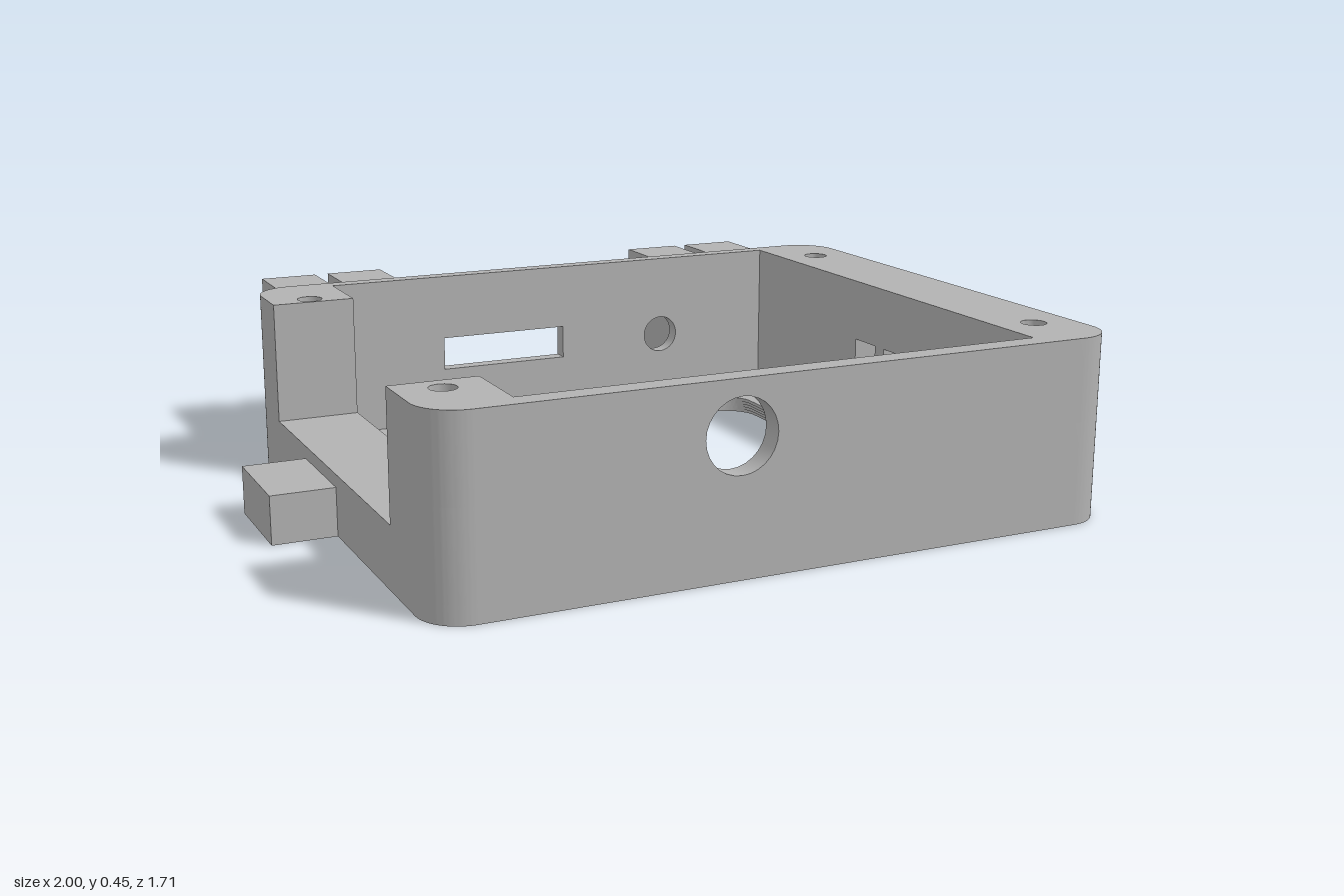
import * as THREE from 'three';
import { toCreasedNormals } from 'three/addons/utils/BufferGeometryUtils.js';

const X = 0.845, BACK = -0.53, FRONT = 0.855, TOP = 0.45, FLOOR = 0.045;
const INNER_X = 0.64, INNER_BACK = -0.49, INNER_FRONT = 0.8;
const NOTCH_BACK = -0.305, NOTCH_FRONT = 0.605;

// Rectangle with one radius per corner: lower left, lower right, upper right, upper left
function rect(x0, y0, x1, y1, [a, b, c, d] = [0, 0, 0, 0], Type = THREE.Shape) {
  const s = new Type();
  s.moveTo(x0 + a, y0);
  s.lineTo(x1 - b, y0);
  if (b) s.absarc(x1 - b, y0 + b, b, -Math.PI / 2, 0, false);
  s.lineTo(x1, y1 - c);
  if (c) s.absarc(x1 - c, y1 - c, c, 0, Math.PI / 2, false);
  s.lineTo(x0 + d, y1);
  if (d) s.absarc(x0 + d, y1 - d, d, Math.PI / 2, Math.PI, false);
  s.lineTo(x0, y0 + a);
  if (a) s.absarc(x0 + a, y0 + a, a, Math.PI, Math.PI * 1.5, false);
  return s;
}

function circle(x, y, r) {
  const p = new THREE.Path();
  p.absarc(x, y, r, 0, Math.PI * 2, true);
  return p;
}

function extrude(shape, depth) {
  const g = new THREE.ExtrudeGeometry(shape, { depth, bevelEnabled: false, curveSegments: 14 });
  return toCreasedNormals(g, 0.6);
}

// Plan shapes are drawn in (x, -z) and rise from y0 to y1
const extrudeUp = (shape, y0, y1) => extrude(shape, y1 - y0).rotateX(-Math.PI / 2).translate(0, y0, 0);

export function createModel() {
  const model = new THREE.Group();
  model.name = 'enclosureFrame';
  const grey = new THREE.MeshStandardMaterial({ color: 0xb2b2b2 });
  grey.name = 'grey plastic';

  const add = (name, geometry) => {
    const mesh = new THREE.Mesh(geometry, grey);
    mesh.name = name;
    model.add(mesh);
  };
  const box = (name, x0, x1, y0, y1, z0, z1) => add(name,
    new THREE.BoxGeometry(x1 - x0, y1 - y0, z1 - z0)
      .translate((x0 + x1) / 2, (y0 + y1) / 2, (z0 + z1) / 2));

  // Floor: thin layers whose opening widens slightly downwards
  const layers = 5;
  for (let i = 0; i < layers; i++) {
    const grow = 0.004 * (layers - 1 - i);
    const plate = rect(-X, -FRONT, X, -BACK, [0.1, 0.1, 0.1, 0.1]);
    const r = 0.07 + grow;
    plate.holes.push(rect(-0.53 - grow, -0.57 - grow, 0.53 + grow, 0.405 + grow, [r, r, r, r], THREE.Path));
    add('floorLayer', extrudeUp(plate, FLOOR * i / layers, FLOOR * (i + 1) / layers));
  }

  // Corner blocks: solid below, blind screw hole above
  for (const side of [-1, 1]) for (const front of [true, false]) {
    const x0 = side < 0 ? -X : INNER_X, x1 = side < 0 ? -INNER_X : X;
    const z0 = front ? NOTCH_FRONT : BACK, z1 = front ? FRONT : NOTCH_BACK;
    const radii = [0, 0, 0, 0];
    radii[front ? (side < 0 ? 0 : 1) : (side < 0 ? 3 : 2)] = 0.1;
    add('cornerBlockBase', extrudeUp(rect(x0, -z1, x1, -z0, radii), FLOOR, 0.25));
    const upper = rect(x0, -z1, x1, -z0, radii);
    upper.holes.push(circle(side * 0.742, front ? -0.667 : 0.345, 0.031));
    add('cornerBlockTop', extrudeUp(upper, 0.25, TOP));
  }

  // Front wall with round port
  const frontWall = rect(-INNER_X, FLOOR, INNER_X, TOP);
  frontWall.holes.push(circle(-0.145, 0.323, 0.087));
  add('frontWall', extrude(frontWall, FRONT - INNER_FRONT).translate(0, 0, INNER_FRONT));

  // Back wall with slot and small round port
  const backWall = rect(-INNER_X, FLOOR, INNER_X, TOP);
  backWall.holes.push(rect(-0.335, 0.193, 0.015, 0.28, undefined, THREE.Path), circle(0.317, 0.231, 0.05));
  add('backWall', extrude(backWall, INNER_BACK - BACK).translate(0, 0, BACK));

  // Left wall with four windows, drawn in (-z, y)
  const leftWall = rect(-NOTCH_FRONT, FLOOR, -NOTCH_BACK, TOP);
  for (let i = 0; i < 4; i++) {
    const u = -0.55 + i * 0.137;
    leftWall.holes.push(rect(u, 0.16, u + 0.095, 0.293, undefined, THREE.Path));
  }
  add('leftWall', extrude(leftWall, X - INNER_X).rotateY(Math.PI / 2).translate(INNER_X, 0, 0));

  // Low sill in the right side notch
  box('rightSill', -X, -INNER_X, FLOOR, 0.15, NOTCH_BACK, NOTCH_FRONT);

  // Side tabs
  box('leftTab', X, 1, 0, 0.118, -0.06, 0.2);
  box('rightTab', -1, -X, 0, 0.118, -0.06, 0.2);

  // Paired mounting posts at the back
  for (const [x0, x1] of [[-0.738, -0.587], [-0.55, -0.397], [0.39, 0.545], [0.58, 0.733]])
    box('backPost', x0, x1, 0, 0.413, -0.858, BACK);

  return model;
}
